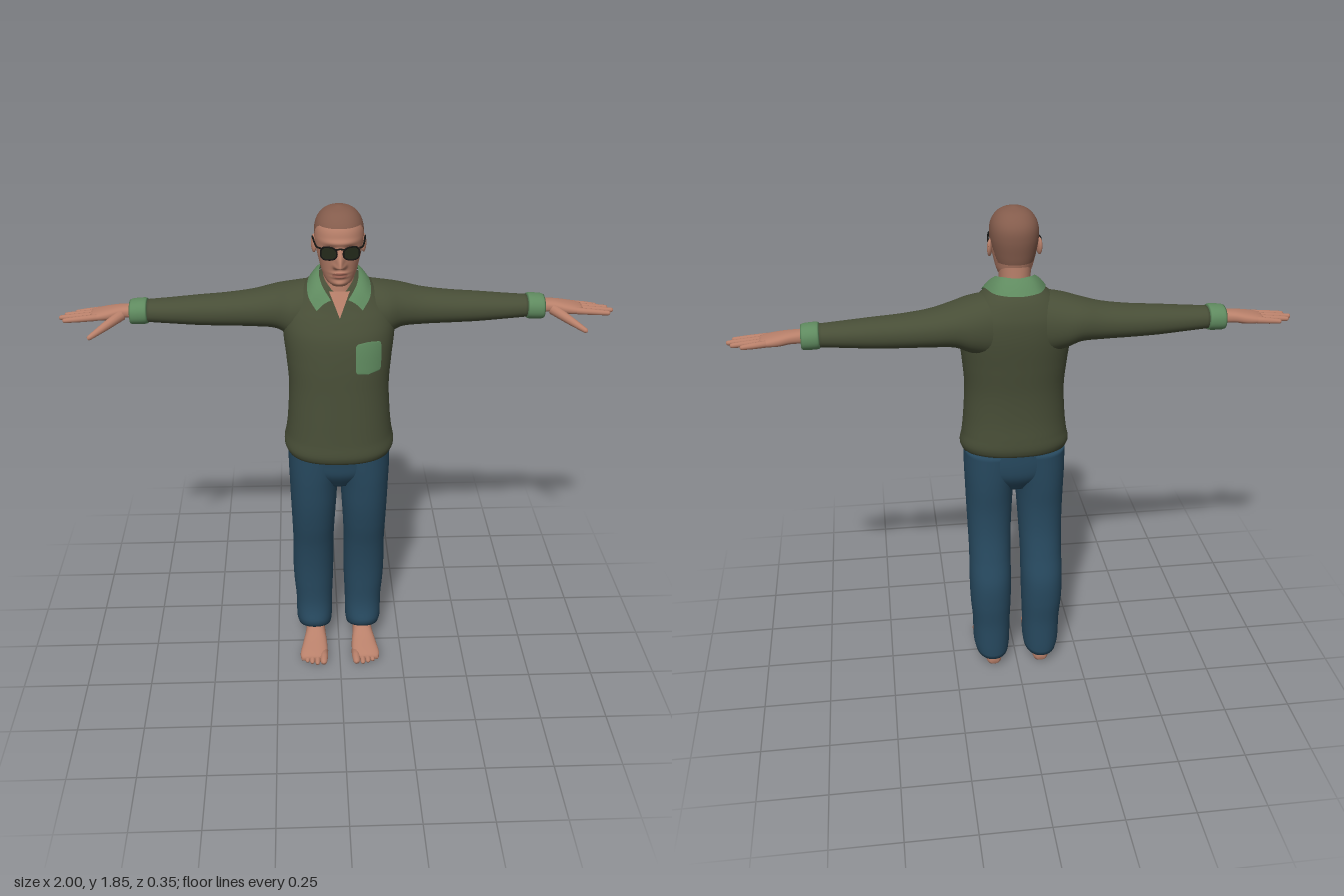
import * as THREE from 'three';

const mat = (name, color, extra = {}) => Object.assign(new THREE.MeshStandardMaterial({ color, ...extra }), { name });
const skin = mat('skin', 0xb8806a), hair = mat('shaved hair', 0x845c4c), lips = mat('lips', 0xa56a5a);
const wool = mat('shirt', 0x484e37), denim = mat('jeans', 0x27495f);
const trim = mat('collar and cuffs', 0x5f8a5f, { side: THREE.DoubleSide });
const black = mat('glasses frame', 0x141412), lensMat = mat('lens', 0x23291a);

// Smooth interpolation of station rows [t, ...values]
function sample(st, t) {
  const last = st.length - 1;
  let i = 0;
  while (i < last - 1 && t > st[i + 1][0]) i++;
  const a = st[i], b = st[i + 1], h = b[0] - a[0], s = (t - a[0]) / h;
  const slope = (k, c) => {
    const p = st[Math.max(k - 1, 0)], q = st[Math.min(k + 1, last)];
    return (q[c] - p[c]) / (q[0] - p[0]);
  };
  return a.slice(1).map((v, k) => {
    const c = k + 1, s2 = s * s, s3 = s2 * s;
    return v * (2 * s3 - 3 * s2 + 1) + b[c] * (3 * s2 - 2 * s3)
      + h * slope(i, c) * (s3 - 2 * s2 + s) + h * slope(i + 1, c) * (s3 - s2);
  });
}

// Closed loft along an axis; rows are [t, uMin, uMax, vMin, vMax] in cyclic axis order
function loft(axis, st, { rows = 40, seg = 40, n = 2.2, warp, pick } = {}) {
  const A = 'xyz'.indexOf(axis), U = (A + 1) % 3, V = (A + 2) % 3;
  const pos = [], idx = [], t0 = st[0][0], t1 = st[st.length - 1][0];
  const put = (t, u, v) => {
    const p = new THREE.Vector3().setComponent(A, t).setComponent(U, u).setComponent(V, v);
    if (warp) warp(p);
    pos.push(p.x, p.y, p.z);
  };
  const pw = c => Math.sign(c) * Math.abs(c) ** (2 / n);
  for (let i = 0; i <= rows; i++) {
    const t = t0 + (t1 - t0) * i / rows, [a, b, c, d] = sample(st, t);
    for (let j = 0; j < seg; j++) {
      const th = j / seg * Math.PI * 2;
      put(t, (a + b) / 2 + (b - a) / 2 * pw(Math.cos(th)), (c + d) / 2 + (d - c) / 2 * pw(Math.sin(th)));
    }
  }
  for (const r of [st[0], st[st.length - 1]]) put(r[0], (r[1] + r[2]) / 2, (r[3] + r[4]) / 2);
  const lo = (rows + 1) * seg, top = rows * seg;
  for (let j = 0; j < seg; j++) {
    const k = (j + 1) % seg;
    idx.push([lo, k, j], [lo + 1, top + j, top + k]);
    for (let i = 0; i < rows; i++) {
      const p = i * seg, q = p + seg;
      idx.push([p + j, p + k, q + k], [p + j, q + k, q + j]);
    }
  }
  const g = new THREE.BufferGeometry();
  g.setAttribute('position', new THREE.Float32BufferAttribute(pos, 3));
  // Optional material choice for each face
  if (pick) {
    const bins = [[], [], []];
    for (const f of idx) {
      const m = [0, 1, 2].map(c => f.reduce((s, v) => s + pos[v * 3 + c], 0) / 3);
      bins[pick(...m)].push(f);
    }
    let start = 0;
    bins.forEach((b, i) => { g.addGroup(start, b.length * 3, i); start += b.length * 3; });
    g.setIndex(bins.flat(2));
  } else g.setIndex(idx.flat());
  g.computeVertexNormals();
  return g;
}

// Open surface from a function of (u, v)
function sheet(nu, nv, f) {
  const pos = [], idx = [], w = nu + 1;
  for (let j = 0; j <= nv; j++) for (let i = 0; i <= nu; i++) pos.push(...f(i / nu, j / nv));
  for (let j = 0; j < nv; j++) for (let i = 0; i < nu; i++) {
    const a = j * w + i;
    idx.push(a, a + 1, a + w + 1, a, a + w + 1, a + w);
  }
  const g = new THREE.BufferGeometry();
  g.setAttribute('position', new THREE.Float32BufferAttribute(pos, 3));
  g.setIndex(idx);
  g.computeVertexNormals();
  return g;
}

// Tapered round-ended finger or toe from a to b
function digit(a, b, r0, r1) {
  const A = new THREE.Vector3(...a), d = new THREE.Vector3(...b).sub(A), L = d.length();
  const pts = [[0, 0], [r0, 0], [(r0 + r1) / 2 * 1.05, L * 0.5], [r1, L - r1], [r1 * 0.75, L - r1 * 0.35], [0, L]];
  const g = new THREE.LatheGeometry(pts.map(p => new THREE.Vector2(...p)), 12);
  g.applyQuaternion(new THREE.Quaternion().setFromUnitVectors(new THREE.Vector3(0, 1, 0), d.normalize()));
  return g.translate(...a);
}

function mirrored(geo) {
  const g = geo.clone().scale(-1, 1, 1), ix = g.index.array;
  for (let i = 0; i < ix.length; i += 3) [ix[i], ix[i + 1]] = [ix[i + 1], ix[i]];
  return g;
}

const bump = (v, c, w) => Math.exp(-(((v - c) / w) ** 2));
const step = THREE.MathUtils.smoothstep;
const tube = (pts, r, closed = false) => new THREE.TubeGeometry(
  new THREE.CatmullRomCurve3(pts.map(p => new THREE.Vector3(...p)), closed), 40, r, 8, closed);

export function createModel() {
  const root = new THREE.Group();
  const add = (name, geo, m) => { const o = new THREE.Mesh(geo, m); o.name = name; root.add(o); };
  const pair = (name, geo, m) => { add(name + 'Left', geo, m); add(name + 'Right', mirrored(geo), m); };

  // Shirt body, with the hem higher at the back
  const body = [[0.925, -0.138, 0.153, 0.193], [0.95, -0.147, 0.162, 0.203], [1, -0.147, 0.158, 0.195],
    [1.1, -0.143, 0.152, 0.186], [1.2, -0.147, 0.146, 0.182], [1.3, -0.16, 0.14, 0.19], [1.4, -0.173, 0.125, 0.2],
    [1.46, -0.175, 0.1, 0.195], [1.5, -0.17, 0.078, 0.175], [1.55, -0.15, 0.055, 0.13],
    [1.58, -0.125, 0.04, 0.09], [1.6, -0.1, 0.02, 0.06]].map(([y, a, b, w]) => [y, a, b, -w, w]);
  add('shirtBody', loft('y', body, { rows: 70, seg: 56, n: 2.3,
    warp: p => { p.y += 0.03 * step(-p.z, -0.15, 0.15) * (1 - step(p.y, 0.95, 1.08)); } }), wool);
  const onChest = (x, y) => {
    const [a, b, , w] = sample(body, y);
    return [x, y, (a + b) / 2 + (b - a) / 2 * (1 - Math.abs(x / w) ** 2.3) ** (1 / 2.3) + 0.004];
  };
  add('chestPocket', sheet(12, 24, (u, v) => {
    const w = 0.046 * Math.max(0, 1 - Math.abs(2 * v - 1) ** 8) ** 0.25;
    return onChest(0.1 + (2 * u - 1) * w, 1.278 + 0.118 * v);
  }), trim);
  add('neckOpening', sheet(8, 16, (u, v) => onChest((2 * u - 1) * 0.036 * v, 1.475 + 0.085 * v)), skin);

  // Collar
  const ring = half => new THREE.CatmullRomCurve3(
    [...half.slice(1).reverse().map(([x, y, z]) => [-x, y, z]), ...half].map(p => new THREE.Vector3(...p)));
  const upper = ring([[0, 1.625, -0.1], [0.05, 1.625, -0.078], [0.069, 1.61, -0.02], [0.06, 1.578, 0.04], [0.03, 1.535, 0.074]]);
  const lower = ring([[0, 1.575, -0.147], [0.075, 1.577, -0.12], [0.108, 1.574, -0.03], [0.107, 1.538, 0.05], [0.08, 1.5, 0.083]]);
  add('collar', sheet(48, 4, (u, v) => {
    const p = lower.getPoint(u).lerp(upper.getPoint(u), v);
    return [p.x, p.y + 0.006 * Math.sin(v * Math.PI), p.z];
  }), trim);

  // Sleeves and cuffs
  pair('sleeve', loft('x', [[0.02, 1.33, 1.575, -0.15, 0.03], [0.1, 1.34, 1.563, -0.165, 0.05], [0.17, 1.36, 1.55, -0.173, 0.05],
    [0.22, 1.385, 1.538, -0.172, 0.025], [0.3, 1.39, 1.518, -0.16, 0.003], [0.4, 1.392, 1.505, -0.152, -0.008],
    [0.5, 1.395, 1.498, -0.145, -0.015], [0.6, 1.402, 1.49, -0.137, -0.022], [0.69, 1.408, 1.484, -0.128, -0.032]]), wool);
  pair('cuff', loft('x', [[0.682, 1.404, 1.488, -0.13, -0.029], [0.69, 1.401, 1.491, -0.133, -0.026],
    [0.735, 1.4, 1.488, -0.131, -0.027], [0.745, 1.403, 1.484, -0.128, -0.03]], { rows: 12 }), trim);

  // Hands
  pair('palm', loft('x', [[0.72, 1.422, 1.47, -0.108, -0.05], [0.78, 1.425, 1.467, -0.117, -0.045], [0.82, 1.42, 1.461, -0.124, -0.035],
    [0.86, 1.421, 1.453, -0.125, -0.031], [0.885, 1.426, 1.446, -0.12, -0.036]], { rows: 20, seg: 28, n: 2.5 }), skin);
  [[-0.113, 0.95, -0.116], [-0.09, 0.985, -0.093], [-0.066, 1, -0.066], [-0.042, 0.983, -0.036]].forEach(([z, x, z1], i) =>
    pair('finger' + (i + 1), digit([0.86, 1.437, z], [x, 1.428, z1], 0.0125, 0.0085), skin));
  pair('thumb', digit([0.775, 1.44, -0.055], [0.888, 1.387, 0.036], 0.02, 0.009), skin);

  // Jeans
  add('jeansHips', loft('y', [[0.79, -0.08, 0.08, -0.08, 0.08], [0.85, -0.122, 0.12, -0.16, 0.16],
    [0.9, -0.133, 0.13, -0.187, 0.187], [0.98, -0.135, 0.14, -0.188, 0.188]], { rows: 20 }), denim);
  pair('jeansLeg', loft('y', [[0.07, -0.135, 0.038, 0.032, 0.163], [0.1, -0.138, 0.046, 0.028, 0.17], [0.2, -0.14, 0.03, 0.026, 0.172],
    [0.3, -0.15, 0.034, 0.022, 0.18], [0.4, -0.15, 0.044, 0.02, 0.182], [0.5, -0.128, 0.062, 0.02, 0.18],
    [0.6, -0.112, 0.088, 0.016, 0.182], [0.7, -0.11, 0.108, 0.01, 0.185], [0.8, -0.12, 0.12, 0.003, 0.188],
    [0.86, -0.125, 0.125, -0.01, 0.19], [0.95, -0.13, 0.13, -0.03, 0.19]], { rows: 60,
    warp: p => { p.y += 0.3 * (p.z + 0.05) * (1 - step(p.y, 0.06, 0.18)); } }), denim);

  // Feet
  pair('ankle', loft('y', [[0.04, -0.11, -0.01, 0.062, 0.128], [0.16, -0.1, -0.02, 0.065, 0.125]], { rows: 4 }), skin);
  pair('foot', loft('z', [[-0.12, 0.078, 0.112, 0.012, 0.045], [-0.105, 0.065, 0.125, 0, 0.07], [-0.05, 0.06, 0.13, 0, 0.1],
    [0.02, 0.055, 0.138, 0, 0.088], [0.07, 0.05, 0.15, 0, 0.062], [0.12, 0.051, 0.16, 0, 0.04],
    [0.145, 0.06, 0.153, 0.005, 0.028]], { seg: 28, n: 2.4 }), skin);
  [[0.067, 0.175, 0.017], [0.092, 0.173, 0.012], [0.113, 0.166, 0.012], [0.132, 0.157, 0.011], [0.149, 0.145, 0.011]]
    .forEach(([x, z, r], i) => pair('toe' + (i + 1), digit([x - 0.003, 0.021, 0.1], [x, r, z], r, r * 0.85), skin));

  // Head with nose, eye sockets, lips and chin; the shaved hair is a set of its faces
  const hairline = z => 1.797 - 0.065 * step(-z, -0.06, 0.01) - 0.065 * step(-z, 0.02, 0.05);
  add('head', loft('y', [[1.585, 0.01, 0.07, -0.028, 0.028], [1.6, -0.03, 0.084, -0.046, 0.046], [1.63, -0.07, 0.092, -0.061, 0.061],
    [1.66, -0.086, 0.098, -0.069, 0.069], [1.7, -0.096, 0.104, -0.078, 0.078], [1.75, -0.104, 0.107, -0.085, 0.085],
    [1.79, -0.101, 0.101, -0.082, 0.082], [1.82, -0.082, 0.08, -0.067, 0.067], [1.84, -0.052, 0.05, -0.042, 0.042],
    [1.85, -0.01, 0.01, -0.008, 0.008]], { rows: 90, seg: 96,
    warp: p => {
      if (p.z < 0.03) return;
      const { x, y } = p, ax = Math.abs(x);
      p.z += 0.042 * bump(x, 0, 0.013) * step(y, 1.655, 1.672) * (1 - step(y, 1.672, 1.74))
        + 0.012 * bump(ax, 0.014, 0.008) * bump(y, 1.668, 0.01)
        - 0.012 * bump(ax, 0.034, 0.02) * bump(y, 1.722, 0.014)
        + 0.006 * bump(x, 0, 0.06) * bump(y, 1.75, 0.01)
        + 0.008 * bump(x, 0, 0.025) * (bump(y, 1.64, 0.006) + bump(y, 1.626, 0.006))
        + 0.01 * bump(x, 0, 0.025) * bump(y, 1.6, 0.012);
    },
    pick: (x, y, z) => y > hairline(z) ? 1 : z > 0.07 && (x / 0.027) ** 2 + ((y - 1.633) / 0.011) ** 2 < 1 ? 2 : 0,
  }), [skin, hair, lips]);
  add('neck', loft('y', [[1.45, -0.09, 0.05, -0.06, 0.06], [1.55, -0.088, 0.054, -0.058, 0.058], [1.6, -0.086, 0.05, -0.055, 0.055],
    [1.68, -0.085, 0.04, -0.058, 0.058]], { rows: 12 }), skin);
  pair('ear', new THREE.SphereGeometry(1, 18, 14).scale(0.009, 0.032, 0.018).rotateY(-0.3).rotateX(-0.15).translate(0.086, 1.712, -0.016), skin);

  // Sunglasses
  const rim = [];
  for (let i = 0; i < 16; i++) {
    const a = i / 16 * Math.PI * 2, f = c => Math.sign(c) * Math.abs(c) ** 0.75;
    rim.push([0.028 * f(Math.cos(a)), 0.022 * f(Math.sin(a)) * (1 + 0.1 * Math.cos(a)), 0]);
  }
  const place = g => g.rotateY(0.25).translate(0.038, 1.718, 0.114);
  const lensShape = new THREE.Shape(rim.map(p => new THREE.Vector2(p[0], p[1])));
  pair('lens', place(new THREE.ShapeGeometry(lensShape)), lensMat);
  pair('lensBack', place(new THREE.ShapeGeometry(lensShape).rotateY(Math.PI).scale(1, 1, 1)), lensMat);
  pair('lensRim', place(tube(rim, 0.0028, true)), black);
  pair('templeArm', tube([[0.062, 1.735, 0.109], [0.075, 1.734, 0.095], [0.084, 1.734, 0.05], [0.091, 1.738, -0.01], [0.09, 1.72, -0.032]], 0.0032), black);
  add('bridge', tube([[-0.014, 1.732, 0.12], [0, 1.736, 0.124], [0.014, 1.732, 0.12]], 0.003), black);
  return root;
}
